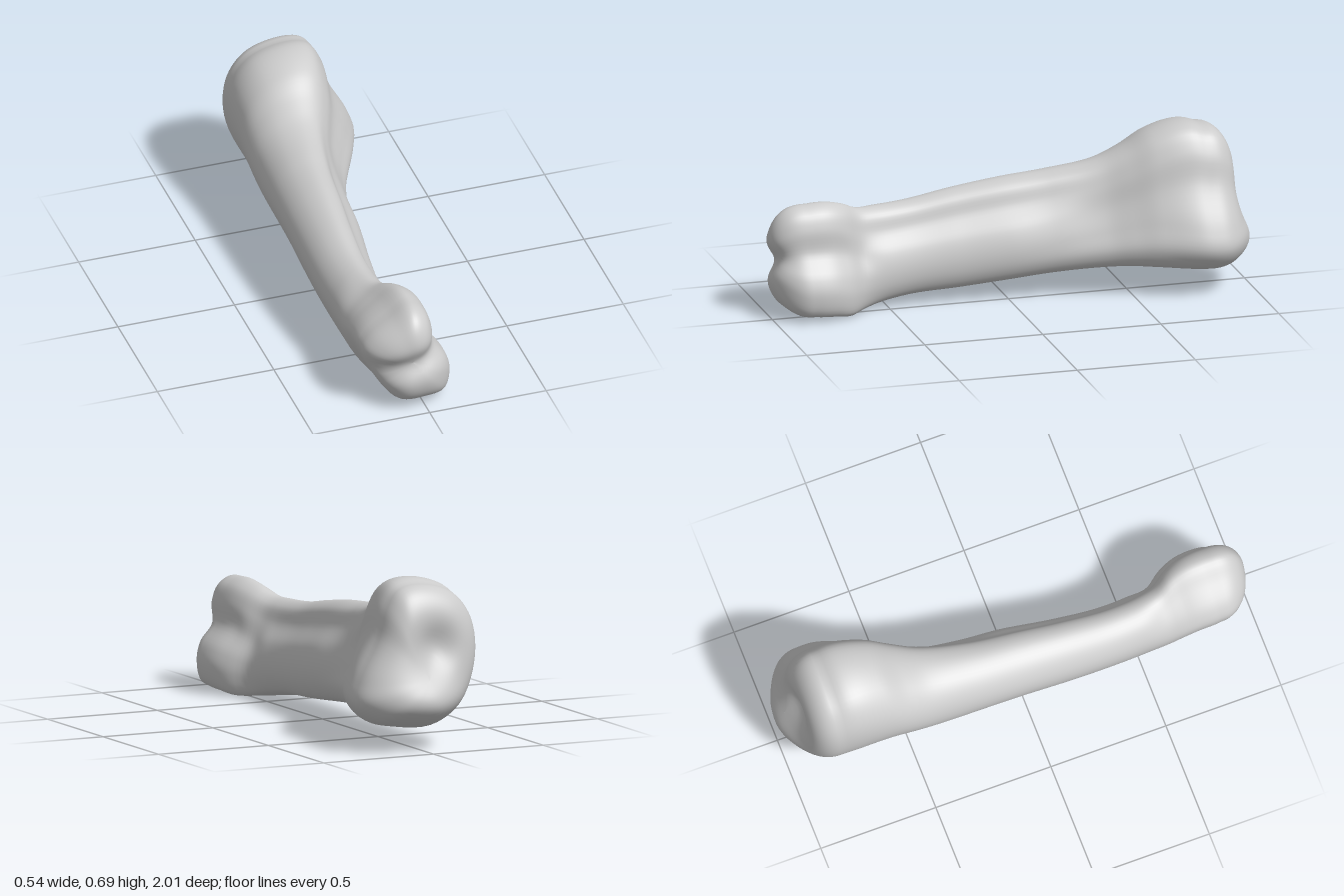
import * as THREE from 'three';

const SIDES = 72;

// Closed outline through a few points, normalised to its own bounding box
function outline(pts) {
  const curve = new THREE.CatmullRomCurve3(pts.map(([x, y]) => new THREE.Vector3(x, y, 0)), true);
  const ring = Array.from({ length: SIDES }, (_, i) => curve.getPoint(i / SIDES));
  const box = new THREE.Box3().setFromPoints(ring);
  const size = box.getSize(new THREE.Vector3());
  return ring.map((p) => [(p.x - box.min.x) / size.x, (p.y - box.min.y) / size.y]);
}

// Cross-sections, each starting at the top and running towards +x
const headShape = outline([[-0.04, 0.695], [0.07, 0.68], [0.125, 0.6], [0.16, 0.47], [0.245, 0.305], [0.27, 0.2],
  [0.21, 0.118], [0.11, 0.09], [-0.06, 0.085], [-0.2, 0.18], [-0.27, 0.36], [-0.255, 0.54], [-0.175, 0.65]]);
const neckShape = outline([[-0.06, 0.595], [0.02, 0.575], [0.065, 0.5], [0.09, 0.4], [0.13, 0.3], [0.16, 0.21],
  [0.13, 0.14], [0.05, 0.115], [-0.07, 0.11], [-0.2, 0.18], [-0.272, 0.34], [-0.25, 0.47], [-0.17, 0.56]]);
const shaftShape = outline([[-0.12, 0.485], [-0.06, 0.455], [-0.03, 0.38], [0.025, 0.3], [0.05, 0.21], [0.043, 0.14],
  [0.012, 0.09], [-0.04, 0.073], [-0.1, 0.07], [-0.205, 0.145], [-0.27, 0.29], [-0.26, 0.38], [-0.2, 0.455]]);
const condyleShape = outline([[-0.05, 0.47], [0.01, 0.44], [0.04, 0.37], [0.05, 0.27], [0.11, 0.18], [0.13, 0.1],
  [0.105, 0.01], [0, 0], [-0.105, 0.01], [-0.17, 0.08], [-0.25, 0.27], [-0.22, 0.34], [-0.13, 0.415]]);

// Where each cross-section applies along z
const keys = [[-0.8, headShape], [-0.5, neckShape], [0, shaftShape], [0.5, shaftShape], [0.72, condyleShape]];

// Extents along the bone: z, left x, right x, bottom y, top y
const stations = [
  [-0.85, -0.265, 0.27, 0.088, 0.663], [-0.75, -0.272, 0.265, 0.092, 0.695], [-0.6, -0.272, 0.21, 0.105, 0.66],
  [-0.5, -0.272, 0.16, 0.11, 0.595], [-0.4, -0.27, 0.115, 0.105, 0.545], [-0.2, -0.27, 0.07, 0.09, 0.507],
  [0, -0.27, 0.05, 0.07, 0.485], [0.2, -0.268, 0.025, 0.05, 0.455], [0.4, -0.26, 0.012, 0.037, 0.42],
  [0.55, -0.25, 0.025, 0.015, 0.412], [0.62, -0.247, 0.045, 0.004, 0.417], [0.68, -0.247, 0.09, 0.002, 0.447],
  [0.75, -0.248, 0.12, 0.014, 0.467], [0.82, -0.248, 0.13, 0.02, 0.47], [0.9, -0.235, 0.122, 0.03, 0.46],
];
const extents = new THREE.CubicInterpolant(stations.map((s) => s[0]), stations.flatMap((s) => s.slice(1)), 4,
  new Float32Array(4));

// Cross-section at z, blended between the neighbouring shapes and fitted to the extents
function section(z) {
  const [x0, x1, y0, y1] = extents.evaluate(z);
  const next = Math.max(1, keys.findIndex(([kz]) => kz > z) === -1 ? keys.length - 1 : keys.findIndex(([kz]) => kz > z));
  const [za, from] = keys[next - 1];
  const [zb, to] = keys[next];
  const t = THREE.MathUtils.smoothstep(z, za, zb);
  return from.map((p, i) => new THREE.Vector3(
    x0 + (x1 - x0) * THREE.MathUtils.lerp(p[0], to[i][0], t),
    y0 + (y1 - y0) * THREE.MathUtils.lerp(p[1], to[i][1], t), z));
}

const bump = (x, y, cx, cy, rx, ry) => Math.exp(-(((x - cx) / rx) ** 2) - ((y - cy) / ry) ** 2);

// Back end: a hollow above a broad projecting lobe
const backFace = (x, y) => -0.962 + 0.055 * bump(x, y, -0.05, 0.43, 0.1, 0.1) - 0.06 * bump(x, y, 0.02, 0.18, 0.2, 0.1);

// Front end: two knuckles parted by a soft slanting groove that deepens towards -x
function frontFace(x, y) {
  const groove = Math.exp(-(((y - 0.25 - 0.25 * x) / 0.055) ** 2));
  return 1.007 - 1.6 * (x + 0.06) ** 2 - (0.035 - 0.06 * Math.min(x, 0)) * groove;
}

// Rounded cap: rings shrinking from the given section to a centre point
function cap(z, cx, cy, face, power) {
  const base = section(z);
  const rings = [];
  const steps = 22;
  for (let k = 1; k <= steps; k++) {
    const a = (k / steps) * Math.PI / 2;
    const s = Math.max(Math.cos(a), 0.002);
    const rise = (1 - s ** power) ** (1 / power);
    rings.push(base.map((p) => {
      const x = cx + (p.x - cx) * s;
      const y = cy + (p.y - cy) * s;
      return new THREE.Vector3(x, y, z + (face(x, y) - z) * rise);
    }));
  }
  return rings;
}

// Skin over a sequence of rings ordered from back to front
function loft(rings) {
  const index = [];
  for (let r = 0; r < rings.length - 1; r++) {
    for (let i = 0; i < SIDES; i++) {
      const j = (i + 1) % SIDES;
      const a = r * SIDES + i, b = r * SIDES + j;
      index.push(a, a + SIDES, b, b, a + SIDES, b + SIDES);
    }
  }
  const geometry = new THREE.BufferGeometry().setFromPoints(rings.flat());
  geometry.setIndex(index);
  geometry.computeVertexNormals();
  return geometry;
}

export function createModel() {
  const group = new THREE.Group();
  group.name = 'bone';

  const zBack = -0.81, zFront = 0.84, count = 90;
  const body = Array.from({ length: count + 1 }, (_, k) => section(zBack + (zFront - zBack) * k / count));
  const rings = [
    ...cap(zBack, 0, 0.3, backFace, 2.45).reverse(),
    ...body,
    ...cap(zFront, -0.06, 0.24, frontFace, 2.8),
  ];

  const bone = new THREE.Mesh(loft(rings), new THREE.MeshStandardMaterial({ color: 0xcccccc }));
  bone.name = 'boneSurface';
  group.add(bone);
  return group;
}
